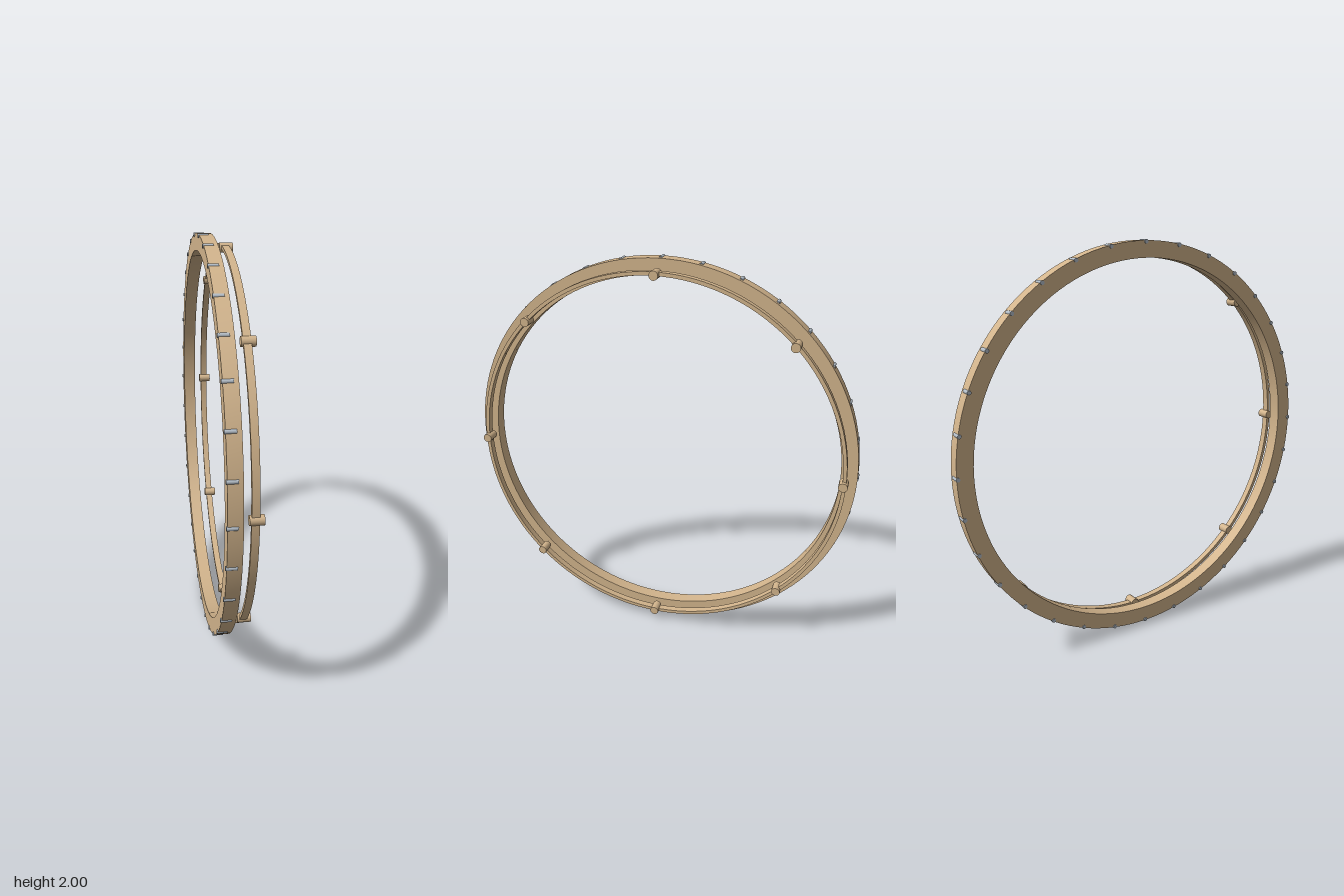
import * as THREE from 'three';
import { toCreasedNormals } from 'three/addons/utils/BufferGeometryUtils.js';

const tan = new THREE.MeshStandardMaterial({ color: 0xd2b48c });
tan.name = 'tan wood';
const steel = new THREE.MeshStandardMaterial({ color: 0xb4bec8 });
steel.name = 'steel';

// Flat band with a rectangular section, its axis along x
function band(name, inner, outer, x0, x1) {
  const profile = [[inner, x0], [outer, x0], [outer, x1], [inner, x1], [inner, x0]]
    .map(([r, h]) => new THREE.Vector2(r, h));
  const geometry = new THREE.LatheGeometry(profile, 128).rotateZ(-Math.PI / 2);
  const mesh = new THREE.Mesh(toCreasedNormals(geometry, 0.6), tan);
  mesh.name = name;
  return mesh;
}

// Ring of small cylinders lying along x
function rods(name, count, ringRadius, radius, x0, x1, material) {
  const group = new THREE.Group();
  group.name = name + 's';
  const geometry = new THREE.CylinderGeometry(radius, radius, x1 - x0, 16).rotateZ(-Math.PI / 2);
  for (let i = 0; i < count; i++) {
    const a = (i / count) * Math.PI * 2;
    const rod = new THREE.Mesh(geometry, material);
    rod.name = name;
    rod.position.set((x0 + x1) / 2, Math.sin(a) * ringRadius, Math.cos(a) * ringRadius);
    group.add(rod);
  }
  return group;
}

export function createModel() {
  const model = new THREE.Group();
  model.name = 'hoops';
  model.add(
    band('mainHoop', 0.915, 0.995, -0.08, -0.015), // wide hoop
    rods('rimPin', 32, 0.99, 0.01, -0.085, -0.035, steel), // pins sunk in its rim
    band('thinHoop', 0.93, 0.948, 0.024, 0.058), // slim hoop beside it
    rods('peg', 8, 0.935, 0.0225, 0.015, 0.078, tan) // pegs along the slim hoop
  );
  model.position.y = 1;
  return model;
}
